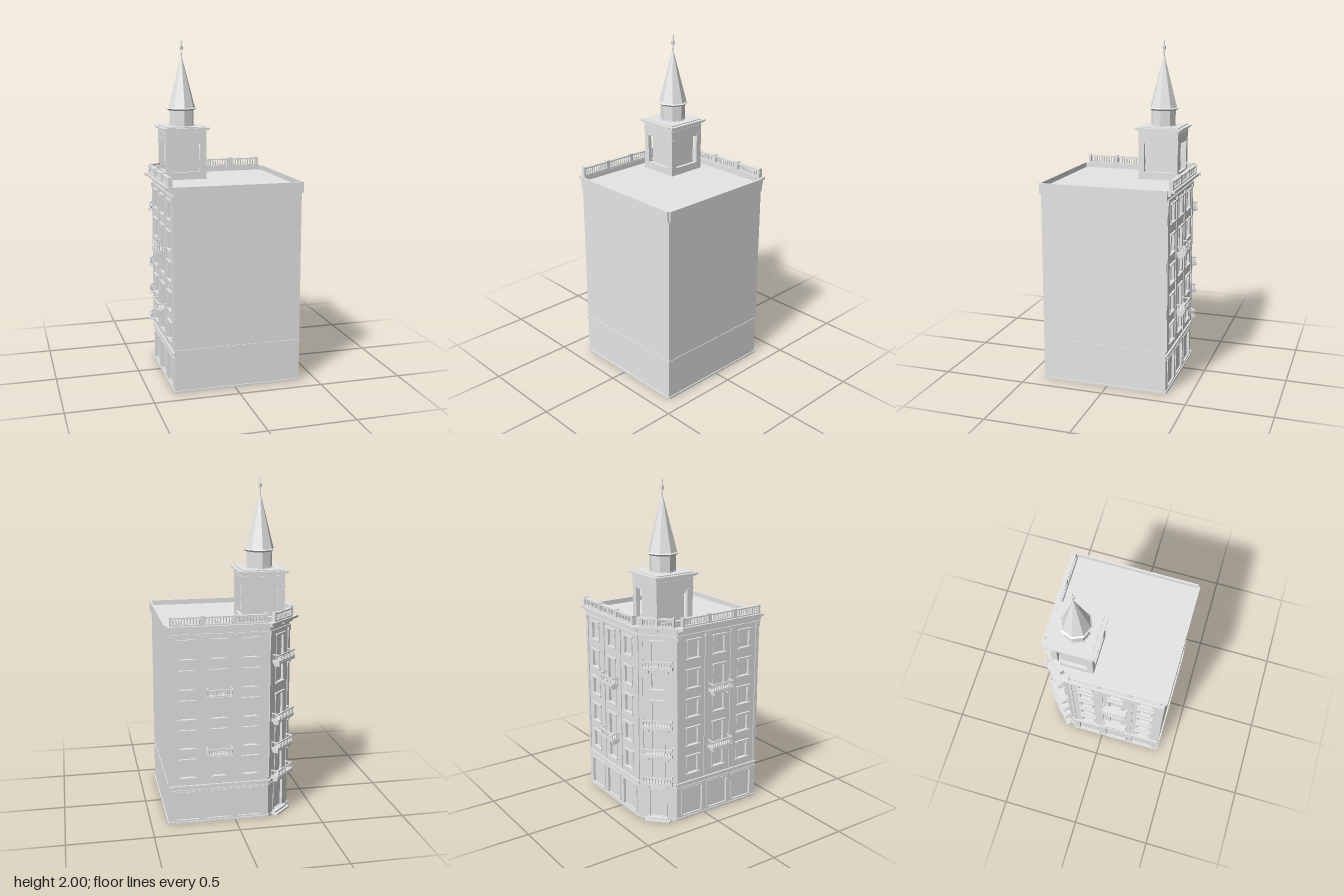
import * as THREE from 'three';

const stone = new THREE.MeshStandardMaterial({ color: 0xe6e6e6, side: THREE.DoubleSide });
stone.name = 'stone';

const W = 0.357, E = 0.397, CUT = 0.2, FLOOR = 0.25, STOREY = 0.178;
const DECK = 1.17, TOP = 1.2; // sunken roof deck and top of the parapet

function add(parent, name, geometry, x = 0, y = 0, z = 0) {
  const mesh = new THREE.Mesh(geometry, stone);
  mesh.name = name;
  mesh.position.set(x, y, z);
  parent.add(mesh);
  return mesh;
}

// Box given by its base height and its back plane
function block(parent, name, w, h, d, x, y, z) {
  return add(parent, name, new THREE.BoxGeometry(w, h, d), x, y + h / 2, z + d / 2);
}

function group(parent, name, x = 0, y = 0, z = 0, turn = 0) {
  const g = new THREE.Group();
  g.name = name;
  g.position.set(x, y, z);
  g.rotation.y = turn;
  parent.add(g);
  return g;
}

function rectPath(Type, x0, x1, y0, y1) {
  return new Type([[x0, y0], [x1, y0], [x1, y1], [x0, y1]].map(p => new THREE.Vector2(...p)));
}

// Horizontal slab from an [x, z] outline
function slab(parent, name, outline, y, h) {
  const shape = new THREE.Shape(outline.map(([x, z]) => new THREE.Vector2(x, -z)));
  const geo = new THREE.ExtrudeGeometry(shape, { depth: h, bevelEnabled: false });
  geo.rotateX(-Math.PI / 2);
  return add(parent, name, geo, 0, y, 0);
}

// Row of balusters between two rails, centred on the local x axis
function railing(parent, name, len, h, count, depth, x, y, z, turn = 0) {
  const g = group(parent, name, x, y, z, turn);
  const t = h * 0.16;
  block(g, 'bottomRail', len, t, depth, 0, 0, -depth / 2);
  block(g, 'topRail', len, t, depth, 0, h - t, -depth / 2);
  const r = Math.min(depth * 0.35, 0.005);
  const geo = new THREE.CylinderGeometry(r * 0.7, r, h - 2 * t, 6);
  for (let i = 0; i < count; i++) add(g, 'baluster', geo, len * ((i + 0.5) / count - 0.5), h / 2, 0);
}

function balcony(parent, w, x, y) {
  const g = group(parent, 'balcony', x, y, 0);
  const d = 0.052;
  block(g, 'balconySlab', w, 0.012, d, 0, -0.014, 0);
  railing(g, 'balconyRailing', w, 0.042, 10, 0.008, 0, 0, d - 0.004);
  for (const s of [-1, 1]) {
    railing(g, 'balconySideRailing', d - 0.008, 0.042, 3, 0.006, s * (w / 2 - 0.003), 0, d / 2 - 0.004, Math.PI / 2);
    block(g, 'balconyBracket', 0.014, 0.022, 0.038, s * w * 0.32, -0.036, 0);
  }
}

// Frame, hood and sill around an opening
function surround(parent, o) {
  const w = o.x1 - o.x0, h = o.y1 - o.y0, x = (o.x0 + o.x1) / 2;
  const g = group(parent, o.name, x, o.y0, 0);
  add(g, 'pane', new THREE.PlaneGeometry(w, h), 0, h / 2, -0.011);
  for (const s of [-1, 1]) block(g, 'jamb', 0.008, h, 0.004, s * (w / 2 + 0.004), 0, 0);
  block(g, 'head', w + 0.016, 0.008, 0.004, 0, h, 0);
  if (o.shop) return;
  block(g, 'hood', w + 0.032, 0.007, 0.013, 0, h + 0.008, 0);
  if (!o.tall) block(g, 'sill', w + 0.03, 0.007, 0.012, 0, -0.007, 0);
}

// Decorated street wall facing local +z
function facade(parent, name, w, x, z, turn, cols, shopW, hasBalcony, balconyW) {
  const g = group(parent, name, x, 0, z, turn);
  const openings = [];
  for (const c of cols) {
    openings.push({ name: 'shopOpening', shop: true, x0: c - shopW / 2, x1: c + shopW / 2, y0: 0.022, y1: 0.19 });
    for (let k = 0; k < 5; k++) {
      const base = FLOOR + k * STOREY;
      const tall = c === 0 && hasBalcony(k);
      openings.push({ name: 'window', tall, x0: c - 0.036, x1: c + 0.036, y0: base + (tall ? 0.004 : 0.04), y1: base + 0.14 });
      if (tall) balcony(g, balconyW, c, base + 0.002);
    }
  }
  const shape = rectPath(THREE.Shape, -w / 2, w / 2, 0, DECK - 0.001);
  for (const o of openings) shape.holes.push(rectPath(THREE.Path, o.x0, o.x1, o.y0, o.y1));
  add(g, 'wall', new THREE.ExtrudeGeometry(shape, { depth: 0.015, bevelEnabled: false }), 0, 0, -0.015);
  openings.forEach(o => surround(g, o));

  // Bands running along the wall
  block(g, 'plinth', w, 0.012, 0.006, 0, 0, 0);
  block(g, 'shopCornice', w, 0.014, 0.011, 0, FLOOR - 0.024, 0);
  block(g, 'shopFrieze', w, 0.006, 0.005, 0, 0.205, 0);
  block(g, 'frieze', w, 0.012, 0.008, 0, 1.135, 0);
  block(g, 'corniceBed', w, 0.018, 0.02, 0, 1.168, 0);

  // Pilasters between the window columns and at the ends
  const spots = cols.length > 1 ? [-w / 2 + 0.013, -0.094, 0.094, w / 2 - 0.013] : [-w / 2 + 0.011, w / 2 - 0.011];
  for (const s of spots) {
    block(g, 'pilaster', 0.022, 0.885, 0.005, s, FLOOR, 0);
    block(g, 'capital', 0.026, 0.02, 0.01, s, 1.115, 0);
  }
  return g;
}

// Rooftop balustrade in bays, with half-width piers at both ends
function balustrade(parent, len, bays, x, z, turn) {
  const g = group(parent, 'roofBalustrade', x, TOP - 0.001, z, turn);
  const bay = len / bays;
  for (let i = 0; i <= bays; i++) {
    const end = i === 0 ? 1 : i === bays ? -1 : 0;
    block(g, 'balustradePier', end ? 0.012 : 0.022, 0.055, 0.025, -len / 2 + i * bay + end * 0.006, 0, -0.0125);
  }
  for (let i = 0; i < bays; i++) railing(g, 'balustradeBay', bay - 0.022, 0.05, Math.round(bay / 0.019), 0.024, -len / 2 + (i + 0.5) * bay, 0, 0);
}

function bellTower(parent) {
  const g = group(parent, 'tower', -0.175, 0, -0.175);
  block(g, 'towerCore', 0.176, 1.4 - DECK, 0.176, 0, DECK, -0.088);
  for (let i = 0; i < 4; i++) {
    const side = group(g, 'towerSide', 0, 0, 0, i * Math.PI / 2);
    const wall = rectPath(THREE.Shape, -0.123, 0.123, DECK, 1.472);
    wall.holes.push(rectPath(THREE.Path, -0.0875, 0.0875, 1.215, 1.388));
    add(side, 'towerWall', new THREE.ExtrudeGeometry(wall, { depth: 0.02, bevelEnabled: false }), 0, 0, 0.103);
    for (const s of [-1, 1]) block(side, 'towerCapital', 0.03, 0.01, 0.004, s * 0.108, 1.39, 0.122);
    block(side, 'towerFrieze', 0.246, 0.008, 0.004, 0, 1.445, 0.122);
    block(side, 'towerEaveEdge', 0.25, 0.008, 0.012, 0, 1.474, 0.134);
  }
  block(g, 'towerEave', 0.27, 0.008, 0.27, 0, 1.466, -0.135);
  block(g, 'towerCornice', 0.285, 0.01, 0.285, 0, 1.473, -0.1425);
  block(g, 'towerTop', 0.246, 0.006, 0.246, 0, 1.482, -0.123);

  // Eight-sided drum, spire and finial
  const ring = (name, rTop, rBottom, y0, y1, sides = 8) => {
    const geo = new THREE.CylinderGeometry(rTop, rBottom, y1 - y0, sides).toNonIndexed();
    geo.computeVertexNormals();
    add(g, name, geo, 0, (y0 + y1) / 2, 0);
  };
  ring('drumBase', 0.081, 0.081, 1.485, 1.492);
  ring('drum', 0.076, 0.076, 1.49, 1.59);
  ring('drumCornice', 0.094, 0.082, 1.582, 1.592);
  ring('drumCap', 0.084, 0.094, 1.592, 1.597);
  ring('spire', 0.005, 0.084, 1.597, 1.9);
  ring('finialRod', 0.003, 0.004, 1.895, 2, 6);
  ring('finialKnob', 0.011, 0.009, 1.942, 1.964, 8);
}

export function createModel() {
  const model = new THREE.Group();
  model.name = 'cornerBuilding';

  // Street walls and the cut corner
  const len = E + CUT, mid = (E - CUT) / 2, diag = (W + CUT) / 2;
  const cols = [-0.187, 0, 0.187];
  facade(model, 'backFacade', len, mid, -W, Math.PI, cols, 0.14, k => k % 2 === 1, 0.15);
  facade(model, 'rightFacade', len, -W, mid, -Math.PI / 2, cols, 0.14, k => k % 2 === 1, 0.15);
  const corner = facade(model, 'cornerFacade', (W - CUT) * Math.SQRT2, -diag, -diag, -0.75 * Math.PI, [0], 0.095, k => k !== 3, 0.178);
  block(corner, 'lowerStep', 0.15, 0.01, 0.042, 0, 0, 0);
  block(corner, 'upperStep', 0.125, 0.01, 0.026, 0, 0.01, 0);
  const arch = new THREE.Shape().absarc(0, 0, 0.045, 0, Math.PI);
  const pediment = add(corner, 'curvedPediment', new THREE.ExtrudeGeometry(arch, { depth: 0.01, bevelEnabled: false }), 0, FLOOR + 3 * STOREY + 0.15, 0);
  pediment.scale.y = 0.35;

  // Plain party walls with a thin parapet
  for (const [name, turn] of [['frontWall', 0], ['leftWall', Math.PI / 2]]) {
    const g = group(model, name, 0, 0, 0, turn);
    const c = turn ? -(E - W) / 2 : (E - W) / 2, w = E + W;
    add(g, 'wall', new THREE.PlaneGeometry(w, DECK), c, DECK / 2, E);
    block(g, 'parapetBand', w, TOP - 1.138, 0.012, c, 1.138, E);
    block(g, 'floorBand', w, 0.012, 0.004, c, FLOOR - 0.005, E);
    block(g, 'plinth', w, 0.012, 0.006, c, 0, E);
  }

  // Sunken roof and projecting cornice
  slab(model, 'roof', [[-W, E], [-W, -CUT], [-CUT, -W], [E, -W], [E, E]], DECK - 0.008, 0.008);
  slab(model, 'cornice', [[-W, E - 0.002], [-0.398, E - 0.002], [-0.398, -0.192], [-0.41, -0.2], [-0.2, -0.41],
    [-0.192, -0.398], [E - 0.002, -0.398], [E - 0.002, -W], [-CUT, -W], [-W, -CUT]], 1.185, 0.014);

  // Rooftop railings
  balustrade(model, 0.56, 3, 0.1, -0.372, Math.PI);
  balustrade(model, 0.56, 3, -0.372, 0.1, -Math.PI / 2);
  balustrade(model, 0.195, 1, -0.288, -0.288, -0.75 * Math.PI);

  bellTower(model);
  return model;
}
